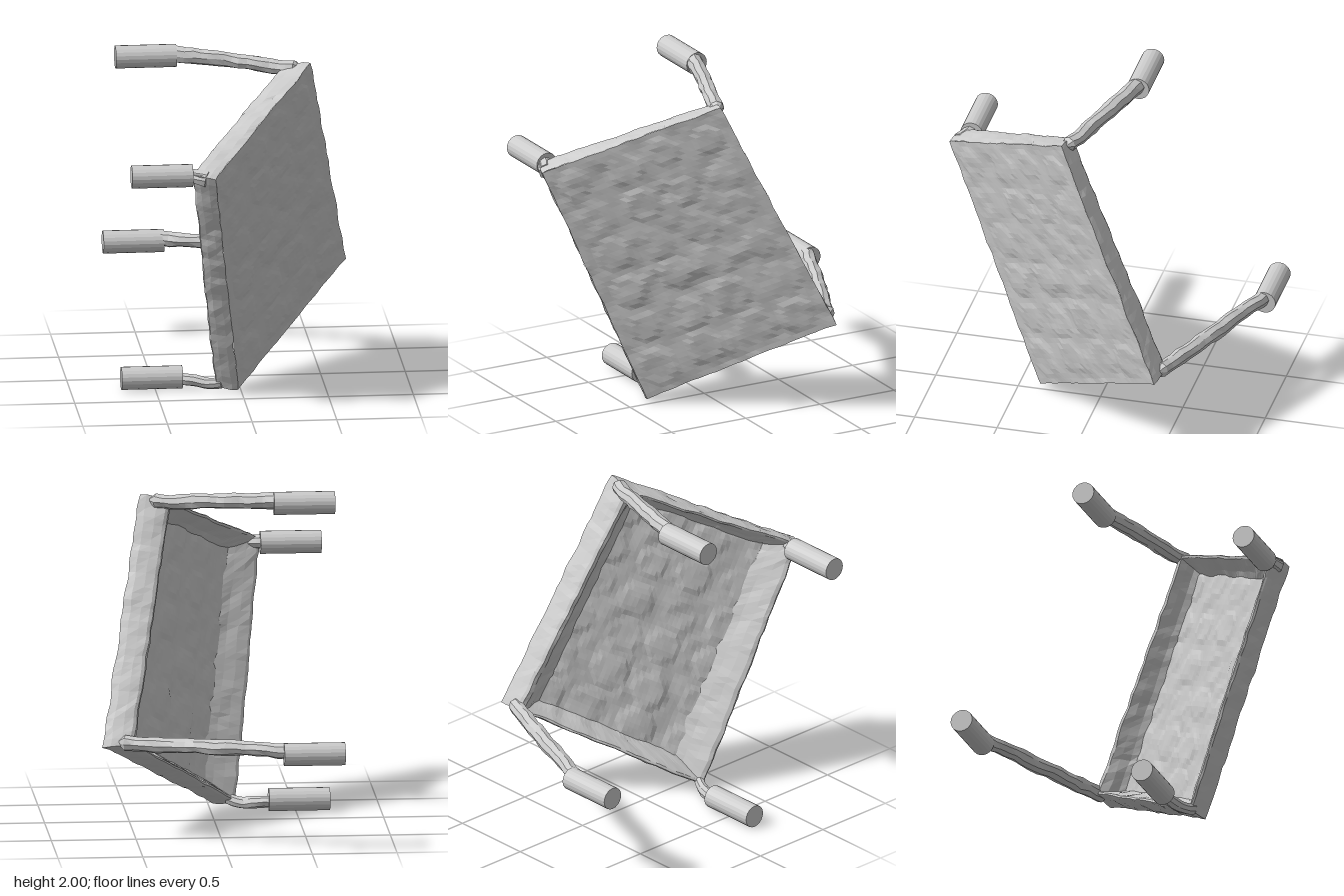
import * as THREE from 'three';

const V = (x, y, z) => new THREE.Vector3(x, y, z);
const material = new THREE.MeshStandardMaterial({ color: 0xcccccc, flatShading: true });

// Panel corners in order A (top), D (left), B (right), C (bottom): outer face and back of the rim
const outer = [V(0.435, 1.945, 0.13), V(-0.21, 1.48, 0.97), V(0.7, 0.565, -0.5), V(-0.015, 0.03, 0.375)];
const inner = [V(0.26, 1.91, 0.1), V(-0.35, 1.505, 0.92), V(0.525, 0.58, -0.535), V(-0.16, 0.035, 0.325)];

const bilinear = (c, u, v) =>
  c[0].clone().lerp(c[1], u).lerp(c[2].clone().lerp(c[3], u), v);
// u, v run across the panel, t from the outer face (0) to the back of the rim (1)
const panelPoint = (u, v, t) => bilinear(outer, u, v).lerp(bilinear(inner, u, v), t);

// Smooth seeded noise between -1 and 1
const hash = (x, y, z) => {
  const s = Math.sin(x * 127.1 + y * 311.7 + z * 74.7) * 43758.5453;
  return (s - Math.floor(s)) * 2 - 1;
};
function noise(x, y, z) {
  const [i, j, k] = [x, y, z].map(Math.floor);
  let sum = 0;
  for (let c = 0; c < 8; c++) {
    const a = c & 1, b = (c >> 1) & 1, d = c >> 2;
    sum += hash(i + a, j + b, k + d)
      * (1 - Math.abs(x - i - a)) * (1 - Math.abs(y - j - b)) * (1 - Math.abs(z - k - d));
  }
  return sum;
}
// Roughness depends only on position, so that seams stay shut
function roughen(p, amount) {
  const [x, y, z] = p.toArray().map((n) => n * 16);
  return p.add(V(noise(x, y, z), noise(x + 50, y, z), noise(x, y + 50, z)).multiplyScalar(amount));
}

// Rounded stones in a loose grid
const stones = [];
for (let i = 0; i < 4; i++) {
  for (let j = 0; j < 6; j++) {
    stones.push({
      u: 0.14 + i * 0.24 + 0.025 * hash(i, j, 1),
      v: 0.1 + j * 0.16 + 0.015 * hash(i, j, 2),
      r: 0.11 + 0.015 * hash(i, j, 3),
      h: 0.007 + 0.003 * hash(i, j, 4),
    });
  }
}
function relief(u, v) {
  let h = 0.005 * noise(u * 14, v * 19, 3);
  for (const s of stones) {
    const d = Math.hypot((u - s.u) * 1.15, (v - s.v) * 1.52);
    h += s.h * (1 - THREE.MathUtils.smoothstep(d, s.r * 0.75, s.r));
  }
  const edge = Math.min(u, v, 1 - u, 1 - v);
  return h * THREE.MathUtils.smoothstep(edge, 0, 0.06);
}

// Grid surface from a function of two parameters
function sheet(name, nu, nv, f) {
  const pos = [], index = [];
  for (let j = 0; j <= nv; j++) {
    for (let i = 0; i <= nu; i++) {
      const p = f(i / nu, j / nv);
      pos.push(p.x, p.y, p.z);
      if (i < nu && j < nv) {
        const a = j * (nu + 1) + i, b = a + nu + 1;
        index.push(a, a + 1, b, a + 1, b + 1, b);
      }
    }
  }
  const g = new THREE.BufferGeometry();
  g.setAttribute('position', new THREE.Float32BufferAttribute(pos, 3));
  g.setIndex(index);
  g.computeVertexNormals();
  const mesh = new THREE.Mesh(g, material);
  mesh.name = name;
  return mesh;
}

// Rough rod with closed ends that tapers between two radii along a curve
function rod(name, points, r0, r1) {
  const curve = new THREE.CatmullRomCurve3(points);
  const g = new THREE.TubeGeometry(curve, 18, 1, 8);
  const p = g.attributes.position, v = V(0, 0, 0);
  for (let i = 0; i < p.count; i++) {
    const t = Math.floor(i / 9) / 18;
    const c = curve.getPointAt(t);
    const radius = t === 0 || t === 1 ? 0.001 : THREE.MathUtils.lerp(r0, r1, t);
    v.fromBufferAttribute(p, i).sub(c).multiplyScalar(radius).add(c);
    roughen(v, 0.01);
    p.setXYZ(i, v.x, v.y, v.z);
  }
  g.computeVertexNormals();
  const mesh = new THREE.Mesh(g, material);
  mesh.name = name;
  return mesh;
}

export function createModel() {
  const model = new THREE.Group();
  const panel = new THREE.Group();
  panel.name = 'panel';
  model.add(panel);

  // Outer face and the hollow's floor share the same stones
  panel.add(sheet('outerFace', 36, 48, (u, v) =>
    roughen(panelPoint(u, v, 0.03 - relief(u, v) * 5), 0.006)));
  panel.add(sheet('hollowFloor', 32, 44, (a, b) => {
    const u = 0.13 + 0.74 * (1 - a), v = 0.05 + 0.9 * b;
    return roughen(panelPoint(u, v, 0.22 + relief(u, v) * 6), 0.006);
  }));

  // Rim: a profile of [inset, depth] carried round the four edges, sloping down to the floor
  const profile = [[0, 0.03], [-0.005, 0.3], [-0.005, 0.65], [0, 0.92], [0.01, 1], [0.03, 0.97], [0.07, 0.72], [0.11, 0.44], [0.155, 0.2]];
  const corners = [[0, 0], [0, 1], [1, 1], [1, 0], [0, 0]];
  panel.add(sheet('rim', 144, profile.length - 1, (s, k) => {
    const side = Math.min(3, Math.floor(s * 4)), f = s * 4 - side;
    const [inset, t] = profile[Math.round(k * (profile.length - 1))];
    const at = (n, w) => {
      const c = THREE.MathUtils.lerp(corners[side][n], corners[side + 1][n], f);
      return w + (1 - 2 * w) * c;
    };
    return roughen(panelPoint(at(0, inset), at(1, inset * 0.42), t), 0.009);
  }));

  // Rods from the panel corners to the feet
  model.add(rod('topRod', [V(0.38, 1.905, 0.12), V(0.24, 1.905, 0.07), V(-0.05, 1.93, -0.03), V(-0.42, 1.945, -0.15)], 0.044, 0.05));
  model.add(rod('rightRod', [V(0.62, 0.585, -0.49), V(0.46, 0.585, -0.56), V(0.1, 0.6, -0.71), V(-0.42, 0.605, -0.92)], 0.045, 0.045));
  model.add(rod('bottomRod', [V(-0.1, 0.06, 0.34), V(-0.18, 0.045, 0.29), V(-0.26, 0.055, 0.25), V(-0.38, 0.06, 0.22)], 0.032, 0.036));
  model.add(rod('leftRod', [V(-0.25, 1.47, 0.92), V(-0.32, 1.48, 0.89), V(-0.4, 1.485, 0.87)], 0.045, 0.045));

  // Cylindrical feet, all parallel to x
  const footGeometry = new THREE.CylinderGeometry(0.068, 0.068, 0.36, 20).rotateZ(Math.PI / 2);
  const feet = { topFoot: [1.932, -0.14], leftFoot: [1.482, 0.87], rightFoot: [0.585, -0.907], bottomFoot: [0.072, 0.23] };
  for (const [name, [y, z]] of Object.entries(feet)) {
    const foot = new THREE.Mesh(footGeometry, material);
    foot.name = name;
    foot.position.set(-0.52, y, z);
    model.add(foot);
  }
  return model;
}
